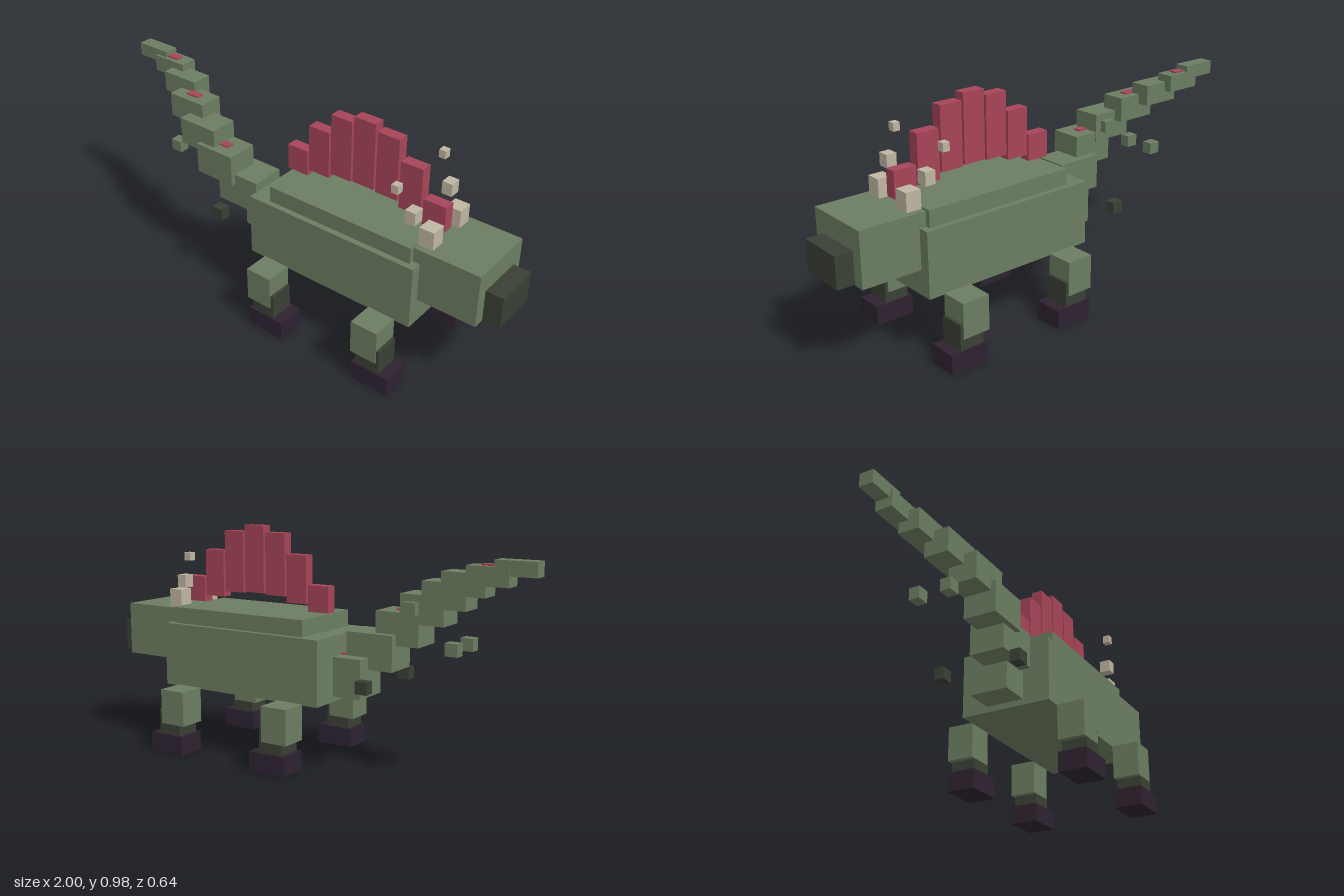
import * as THREE from 'three';

const paint = (name, color) => {
  const m = new THREE.MeshStandardMaterial({ color });
  m.name = name;
  return m;
};

export function createModel() {
  const green = paint('moss green', 0x6b7d61);
  const dark = paint('dark olive', 0x3a4035);
  const red = paint('sail red', 0xa64458);
  const tan = paint('horn tan', 0xbfb5a2);
  const hoof = paint('hoof purple', 0x2e2230);

  const model = new THREE.Group();
  model.name = 'sailBackedLizard';

  // Block given by its minimum and maximum on each axis
  const block = (name, mat, [x0, x1], [y0, y1], [z0, z1]) => {
    const mesh = new THREE.Mesh(new THREE.BoxGeometry(x1 - x0, y1 - y0, z1 - z0), mat);
    mesh.position.set((x0 + x1) / 2, (y0 + y1) / 2, (z0 + z1) / 2);
    mesh.name = name;
    model.add(mesh);
  };
  // The same block on both sides of the body
  const pair = (name, mat, x, y, [z0, z1]) => {
    block(name + 'Left', mat, x, y, [z0, z1]);
    block(name + 'Right', mat, x, y, [-z1, -z0]);
  };

  // Body and head
  block('body', green, [-0.13, 0.67], [0.275, 0.55], [-0.2, 0.2]);
  block('back', green, [-0.042, 0.64], [0.54, 0.62], [-0.175, 0.175]);
  block('head', green, [0.6, 0.925], [0.382, 0.612], [-0.153, 0.153]);
  block('snout', dark, [0.91, 1], [0.386, 0.52], [-0.103, 0.103]);

  // Legs
  for (const [name, x] of [['rear', 0], ['front', 0.536]]) {
    pair(name + 'Thigh', green, [x - 0.056, x + 0.066], [0.13, 0.28], [0.197, 0.315]);
    pair(name + 'Shin', dark, [x - 0.03, x + 0.079], [0.075, 0.192], [0.202, 0.311]);
    pair(name + 'Foot', hoof, [x - 0.047, x + 0.126], [0, 0.083], [0.193, 0.318]);
  }

  // Sail plates, tallest in the middle
  const sail = [[0.69, 0.98], [0.685, 0.952], [0.66, 0.865], [0.63, 0.742]];
  for (let i = -3; i <= 3; i++) {
    const x = 0.31 + i * 0.1095;
    block('sailPlate', red, [x - 0.05, x + 0.05], sail[Math.abs(i)], [-0.025, 0.025]);
  }

  // Horn pieces, shrinking as they rise
  pair('hornBase', tan, [0.64, 0.705], [0.612, 0.69], [0.06, 0.126]);
  pair('hornMiddle', tan, [0.59, 0.635], [0.705, 0.76], [0.102, 0.152]);
  pair('hornTip', tan, [0.54, 0.57], [0.828, 0.863], [0.145, 0.177]);

  // Tail segments from root to tip: left end, length, bottom, top, centre z, width
  const tail = [
    [-0.26, 0.22, 0.3, 0.465, 0, 0.165],
    [-0.37, 0.213, 0.415, 0.565, 0.055, 0.152],
    [-0.47, 0.195, 0.52, 0.657, 0.082, 0.142],
    [-0.58, 0.193, 0.615, 0.735, 0.07, 0.125],
    [-0.69, 0.188, 0.69, 0.797, 0.022, 0.108],
    [-0.79, 0.18, 0.755, 0.845, -0.037, 0.092],
    [-0.895, 0.17, 0.803, 0.877, -0.077, 0.076],
    [-1, 0.165, 0.845, 0.903, -0.081, 0.062],
  ];
  tail.forEach(([x, len, y0, y1, z, w], i) => {
    block('tailSegment', green, [x, x + len], [y0, y1], [z - w / 2, z + w / 2]);
    // Red mark on every second segment
    if (i % 2 === 0) {
      const c = x + len / 2;
      block('tailMark', red, [c - 0.032, c + 0.032], [y1 - 0.002, y1 + 0.006], [z - 0.018, z + 0.018]);
    }
  });

  // Loose studs around the tail
  pair('darkTailStud', dark, [-0.356, -0.302], [0.354, 0.405], [0.15, 0.195]);
  pair('greenTailStud', green, [-0.69, -0.636], [0.524, 0.575], [0.046, 0.092]);
  block('upperTailStud', green, [-0.47, -0.416], [0.655, 0.706], [-0.022, 0.022]);

  return model;
}
